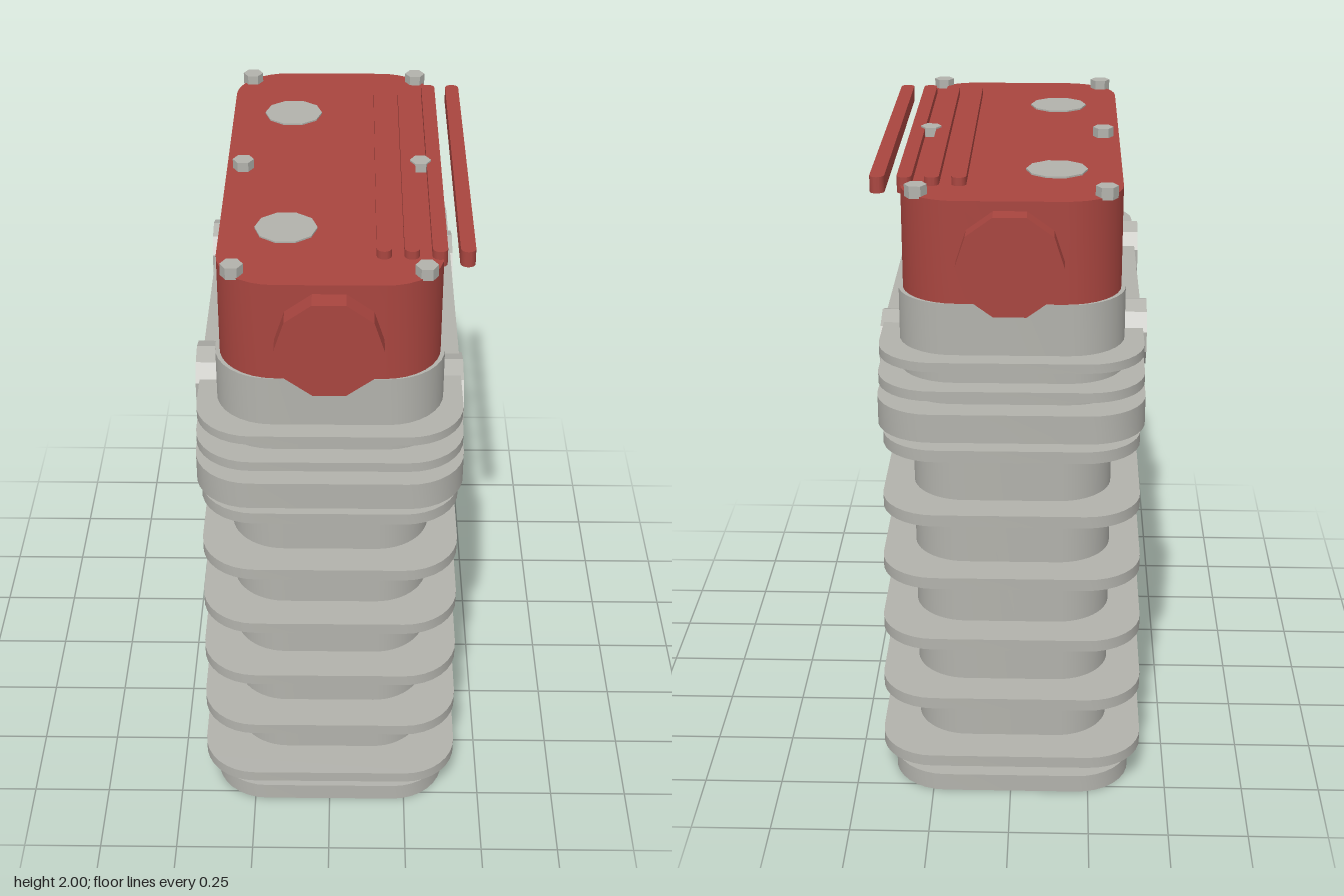
import * as THREE from 'three';
import { toCreasedNormals } from 'three/addons/utils/BufferGeometryUtils.js';

const grey = new THREE.MeshStandardMaterial({ color: 0xb2b2ac });
grey.name = 'castMetalGrey';
const red = new THREE.MeshStandardMaterial({ color: 0xa8453f });
red.name = 'coverRed';

// Horizontal slab with rounded corners: half width, half depth, bottom, top, corner radius
function slab(hx, hz, y0, y1, r, segments = 4) {
  const s = new THREE.Shape();
  s.moveTo(hx, -hz + r);
  s.lineTo(hx, hz - r);
  s.absarc(hx - r, hz - r, r, 0, Math.PI / 2);
  s.absarc(-hx + r, hz - r, r, Math.PI / 2, Math.PI);
  s.absarc(-hx + r, -hz + r, r, Math.PI, Math.PI * 1.5);
  s.absarc(hx - r, -hz + r, r, Math.PI * 1.5, Math.PI * 2);
  const g = new THREE.ExtrudeGeometry(s, { depth: y1 - y0, bevelEnabled: false, curveSegments: segments });
  g.rotateX(-Math.PI / 2);
  g.translate(0, y0, 0);
  return toCreasedNormals(g, 0.55);
}

// Low-sided cylinder along y
function prism(r, length, sides, turn = 0) {
  const g = new THREE.CylinderGeometry(r, r, length, sides);
  g.rotateY(turn);
  return toCreasedNormals(g, 0.4);
}

export function createModel() {
  const model = new THREE.Group();
  model.name = 'engineCylinderBlock';
  const add = (name, geometry, material, x = 0, y = 0, z = 0) => {
    const m = new THREE.Mesh(geometry, material);
    m.name = name;
    m.position.set(x, y, z);
    model.add(m);
    return m;
  };

  // Cylinder block with its base and cooling fins
  add('baseFlange', slab(0.382, 0.78, 0, 0.06, 0.17), grey);
  add('barrel', slab(0.308, 0.687, 0.05, 1.238, 0.165, 6), grey);
  for (let i = 0; i < 6; i++) {
    const y = 0.135 + i * 0.213;
    add('barrelFin', slab(0.418 - i * 0.005, 0.813 - i * 0.005, y - 0.019, y + 0.019, 0.17), grey);
  }

  // Side tubes running up the block
  for (const side of [-1, 1]) {
    add('sideTube', prism(0.05, 1.18, 8), grey, side * 0.34, 0.648, 0);
  }

  // Cylinder head with flange and fins
  add('headFlange', slab(0.405, 0.805, 1.253, 1.343, 0.17), grey);
  add('head', slab(0.34, 0.724, 1.3, 1.66, 0.17), grey);
  add('lowerHeadFin', slab(0.402, 0.793, 1.381, 1.412, 0.17), grey);
  add('upperHeadFin', slab(0.398, 0.787, 1.471, 1.5, 0.17), grey);

  // Ports: large on the left side, smaller on the right side
  const leftPort = prism(0.135, 0.14, 10).rotateZ(-Math.PI / 2).rotateX(Math.PI / 2);
  const rightPort = prism(0.105, 0.14, 10).rotateZ(Math.PI / 2).rotateX(Math.PI / 2);
  for (const z of [-0.396, 0.394]) {
    // ten-sided outline with a corner straight up
    add('leftPort', leftPort, grey, 0.337, 1.385, z);
    add('rightPort', rightPort, grey, -0.34, 1.457, z);
  }

  // Valve cover
  add('valveCover', slab(0.327, 0.722, 1.658, 1.97, 0.17), red);

  // Round end caps of the cover
  const endCap = prism(0.157, 0.12, 10, Math.PI / 2).rotateX(Math.PI / 2);
  for (const side of [-1, 1]) add('endCap', endCap, red, 0, 1.792, side * 0.725);

  // Flush round plugs on top
  const plug = prism(0.093, 0.03, 10, Math.PI / 2);
  for (const z of [-0.397, 0.393]) add('topPlug', plug, grey, -0.131, 1.96, z);

  // Raised ribs with pointed ends, the last one outside the cover
  for (let i = 0; i < 4; i++) {
    add('coverRib', slab(0.022, 0.575, 1.946, 1.995, 0.0219, 2), red, 0.155 + i * 0.08, 0, 0);
  }

  // Hexagonal cover bolts
  const bolt = prism(0.033, 0.036, 6, Math.PI / 2);
  for (const x of [-0.276, 0.274]) {
    for (const z of [-0.656, 0, 0.656]) add('coverBolt', bolt, grey, x, 1.982, z);
  }

  return model;
}
